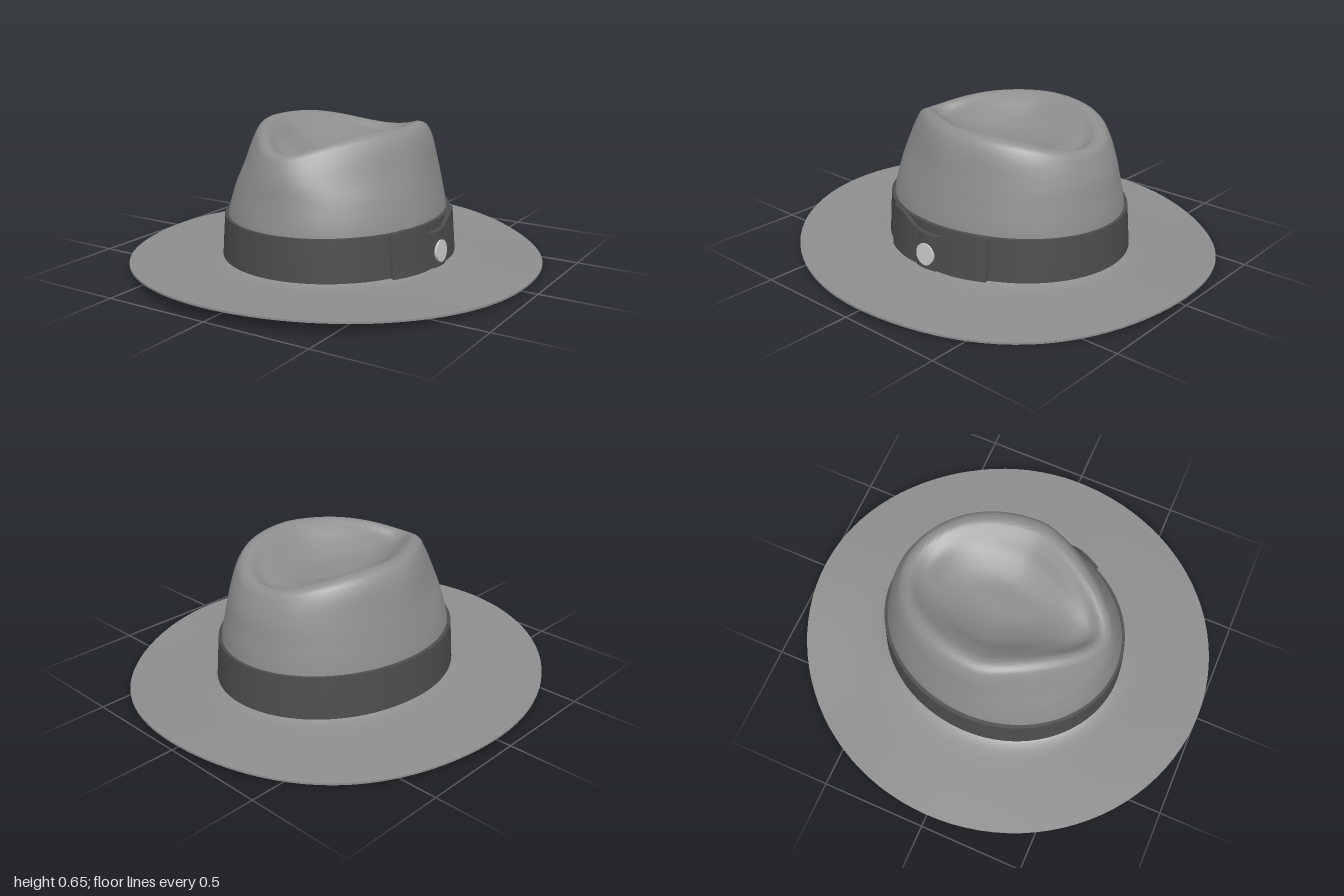
import * as THREE from 'three';
import { toCreasedNormals } from 'three/addons/utils/BufferGeometryUtils.js';

const SEGS = 96;
const felt = new THREE.MeshStandardMaterial({ color: 0x8e8e8e, side: THREE.DoubleSide });
const ribbon = new THREE.MeshStandardMaterial({ color: 0x4c4c4c });
const metal = new THREE.MeshStandardMaterial({ color: 0xcccccc });

// Point on an egg-shaped ring: half width, front reach, back reach, height, front pinch
function ring(th, halfX, front, back, y, pinch = 0) {
  const c = Math.cos(th), f = Math.max(0, c);
  const narrow = 1 - pinch * f * f / (f + 0.15);
  return new THREE.Vector3(halfX * Math.sin(th) * narrow, y, c * (c > 0 ? front : back));
}

// Surface swept round the vertical axis from a profile that varies with the angle
function loft(profile, crease = 0.8) {
  const pos = [], idx = [];
  let n = 0;
  for (let i = 0; i < SEGS; i++) {
    const pts = profile(i / SEGS * Math.PI * 2);
    n = pts.length;
    for (const p of pts) pos.push(p.x, p.y, p.z);
  }
  for (let i = 0; i < SEGS; i++) {
    for (let j = 0; j < n - 1; j++) {
      const a = i * n + j, b = ((i + 1) % SEGS) * n + j;
      idx.push(a, b, b + 1, a, b + 1, a + 1);
    }
  }
  const g = new THREE.BufferGeometry();
  g.setAttribute('position', new THREE.Float32BufferAttribute(pos, 3));
  g.setIndex(idx);
  return toCreasedNormals(g, crease);
}

// Crown: egg-shaped wall pinched at the front, teardrop ridge, dished top
function crownProfile(th) {
  const ridge = 0.655 - 0.078 * Math.abs(Math.cos(th)) ** 3;
  const pts = [
    ring(th, 0.498, 0.565, 0.597, 0.05),
    ring(th, 0.482, 0.557, 0.585, 0.25),
    ring(th, 0.456, 0.535, 0.562, 0.38, 0.07),
    ring(th, 0.438, 0.523, 0.545, 0.46, 0.2),
    ring(th, 0.402, 0.505, 0.518, ridge - 0.055, 0.38),
    ring(th, 0.374, 0.482, 0.492, ridge - 0.012, 0.42),
    ring(th, 0.33, 0.445, 0.455, ridge, 0.42),
    ring(th, 0.275, 0.39, 0.395, ridge - 0.028, 0.42),
    ring(th, 0.205, 0.3, 0.31, 0.55 + (ridge - 0.577) * 0.3, 0.38),
    ring(th, 0.1, 0.15, 0.16, 0.53, 0.2),
    ring(th, 0, 0, 0, 0.525),
  ];
  return new THREE.CatmullRomCurve3(pts, false, 'centripetal').getPoints(60);
}

// Brim: thin, flared up at the crown, with a wavy outer edge
function brimProfile(th) {
  const c = Math.cos(th), c2 = c * c;
  const edge = 0.022 + (c > 0 ? 0.04 * c2 : -0.088 * c2 + 0.106 * c2 * c2);
  const at = (t, thick) => ring(th,
    THREE.MathUtils.lerp(0.488, 0.945, t),
    THREE.MathUtils.lerp(0.555, 1, t),
    THREE.MathUtils.lerp(0.587, 1, t),
    THREE.MathUtils.lerp(0.03, edge, t) + 0.03 * Math.exp(-14 * t) + thick);
  const under = [], over = [];
  for (let k = 0; k <= 20; k++) {
    const t = (k / 20) ** 1.5;
    under.push(at(t, 0));
    over.unshift(at(t, 0.014 - 0.005 * t));
  }
  return [...under, ...over, under[0].clone()];
}

// Outer half width of the hat band at a given height and depth
function bandX(y, z) {
  const t = (y - 0.05) / 0.2;
  const reach = z > 0 ? 0.58 - 0.01 * t : 0.612 - 0.014 * t;
  return (0.516 - 0.016 * t) * Math.sqrt(1 - (z / reach) ** 2);
}

// Strip of ribbon wrapped on the band at the left side of the hat
function ribbonPatch(halfZ, thick, topAt, liftAt) {
  const g = new THREE.BoxGeometry(thick, 1, halfZ * 2, 1, 8, 32);
  const p = g.attributes.position;
  for (let i = 0; i < p.count; i++) {
    const z = p.getZ(i);
    const y = 0.052 + (p.getY(i) + 0.5) * (topAt(z) - 0.052);
    p.setXYZ(i, bandX(y, z) + p.getX(i) + liftAt(z), y, z);
  }
  return toCreasedNormals(g, 0.7);
}

export function createModel() {
  const hat = new THREE.Group();
  hat.name = 'hat';
  const add = (name, geometry, material) => {
    const m = new THREE.Mesh(geometry, material);
    m.name = name;
    hat.add(m);
    return m;
  };

  add('crown', loft(crownProfile, 1.2), felt);
  add('brim', loft(brimProfile), felt);

  // Ribbon round the base of the crown
  add('hatBand', loft(th => [
    ring(th, 0.495, 0.562, 0.594, 0.05),
    ring(th, 0.516, 0.58, 0.612, 0.05),
    ring(th, 0.508, 0.576, 0.605, 0.15),
    ring(th, 0.5, 0.57, 0.598, 0.25),
    ring(th, 0.48, 0.555, 0.583, 0.25),
  ]), ribbon);

  // Inner lining strip
  add('sweatBand', loft(th => [
    ring(th, 0.489, 0.556, 0.588, 0.055),
    ring(th, 0.48, 0.55, 0.58, 0.17),
  ]), felt);

  // Flat bow, dipping to the knot at its middle
  const bowTop = z => 0.212 + 0.045 * THREE.MathUtils.smoothstep(Math.abs(z), 0.05, 0.2)
    - 0.007 * THREE.MathUtils.smoothstep(Math.abs(z), 0.22, 0.29);
  add('bow', ribbonPatch(0.29, 0.02, bowTop, z => 0.004 + 0.006 * Math.sin(Math.abs(z) * 10) ** 2), ribbon);
  add('bowKnot', ribbonPatch(0.057, 0.03, () => 0.212, z => 0.012 - 1.5 * z * z), ribbon);

  // Round stud on the knot
  const stud = add('stud', new THREE.CylinderGeometry(0.05, 0.05, 0.014, 32), metal);
  stud.position.set(bandX(0.12, 0) + 0.027, 0.12, 0);
  stud.rotation.z = -Math.PI / 2 + 0.08;

  return hat;
}
